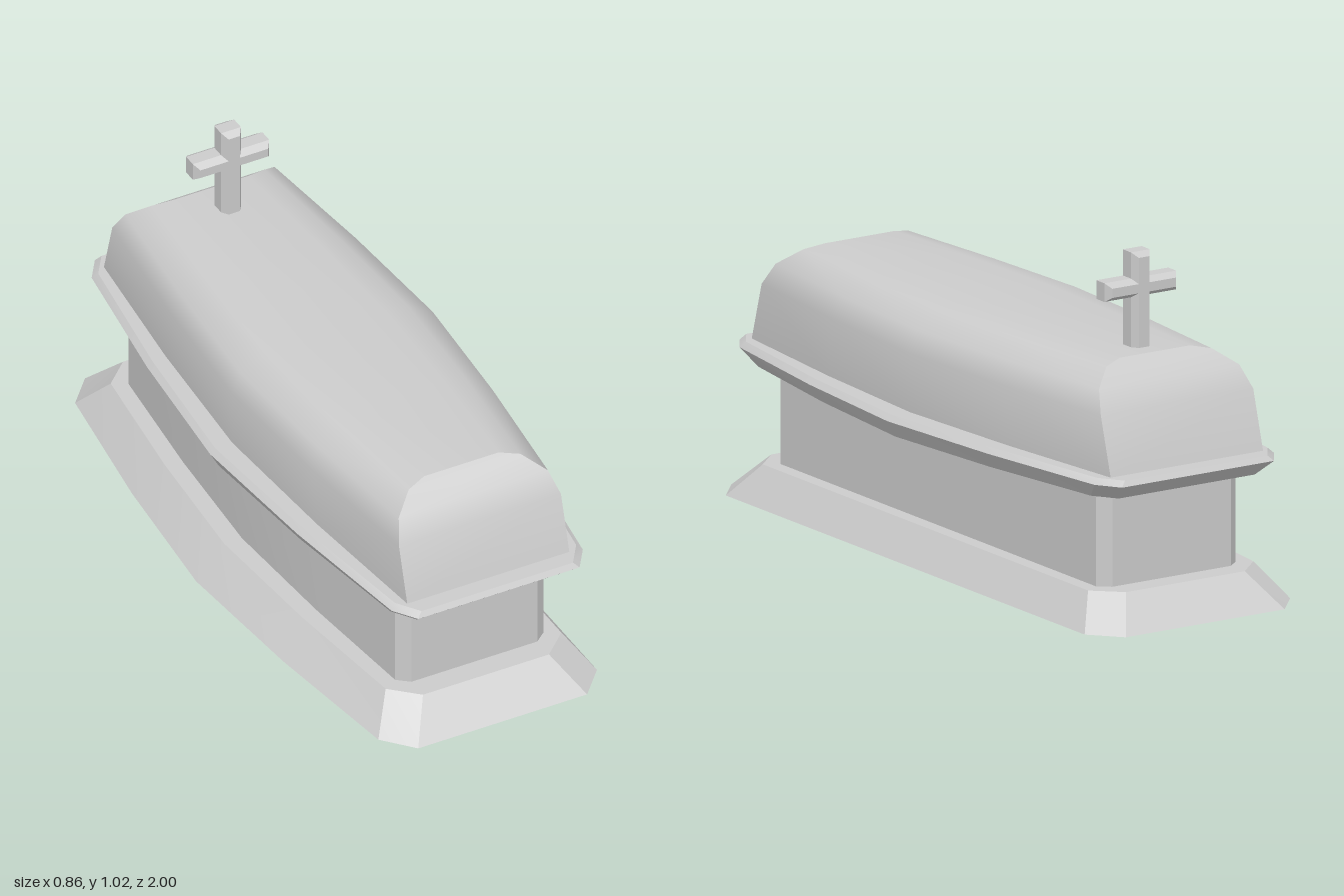
import * as THREE from 'three';
import { toCreasedNormals } from 'three/addons/utils/BufferGeometryUtils.js';

const material = new THREE.MeshStandardMaterial({ color: 0xcccccc, side: THREE.DoubleSide });

// How far the long sides bow out at t = -1..1 along the length
const STATIONS = [-1, -0.5, 0, 0.5, 1];
const BOW = [0, 0.62, 1, 0.62, 0];

// Closed horizontal outline: long sides (bowed) with chamfered corners
function outline({ cx, y, side, zSide, end, zEnd, bowRight, bowLeft }) {
  const right = STATIONS.map((t, i) => [cx + side + (bowRight - side) * BOW[i], y, t * zSide]);
  const left = STATIONS.map((t, i) => [cx - side - (bowLeft - side) * BOW[i], y, -t * zSide]);
  return [
    ...right, [cx + end, y, zEnd], [cx - end, y, zEnd],
    ...left, [cx - end, y, -zEnd], [cx + end, y, -zEnd],
  ];
}

function meshFrom(name, positions, crease) {
  const geometry = new THREE.BufferGeometry();
  geometry.setAttribute('position', new THREE.Float32BufferAttribute(positions.flat(), 3));
  const mesh = new THREE.Mesh(toCreasedNormals(geometry, crease), material);
  mesh.name = name;
  return mesh;
}

const quad = (out, a, b, c, d) => out.push(a, b, c, a, c, d);

// Skin between stacked outlines, lowest first, optionally with a floor
function loft(name, rings, floor = false) {
  const out = [];
  for (let k = 0; k < rings.length - 1; k++) {
    const lo = rings[k], hi = rings[k + 1];
    lo.forEach((p, i) => {
      const j = (i + 1) % lo.length;
      quad(out, p, hi[i], hi[j], lo[j]);
    });
  }
  if (floor) {
    const ring = rings[0];
    const centre = [(ring[5][0] + ring[6][0]) / 2, ring[0][1], 0];
    ring.forEach((p, i) => out.push(centre, p, ring[(i + 1) % ring.length]));
  }
  return meshFrom(name, out, 0.4);
}

// Vaulted lid: bowed sides and rounded shoulders, closed by curved ends
const LID = { cx: 0.02, end: 0.261, mid: 0.336, y: 0.448, z: 0.91 };

function makeLid() {
  // height, width factor, end position
  const levels = [
    [LID.y, 1, LID.z], [0.62, 1, 0.86], [0.685, 0.92, 0.82],
    [0.73, 0.69, 0.768], [0.743, 0.46, 0.748],
  ];
  const point = ([y, f, z], i, s) =>
    [LID.cx + s * f * (LID.end + (LID.mid - LID.end) * BOW[i]), y, STATIONS[i] * z];
  const vault = [], ends = [];
  const last = STATIONS.length - 1;
  for (let k = 0; k < levels.length - 1; k++) {
    const lo = levels[k], hi = levels[k + 1];
    for (let i = 0; i < last; i++) {
      quad(vault, point(lo, i, 1), point(hi, i, 1), point(hi, i + 1, 1), point(lo, i + 1, 1));
      quad(vault, point(lo, i, -1), point(lo, i + 1, -1), point(hi, i + 1, -1), point(hi, i, -1));
    }
    quad(ends, point(lo, last, -1), point(lo, last, 1), point(hi, last, 1), point(hi, last, -1));
    quad(ends, point(lo, 0, 1), point(lo, 0, -1), point(hi, 0, -1), point(hi, 0, 1));
  }
  const top = levels[levels.length - 1];
  for (let i = 0; i < last; i++) {
    quad(vault, point(top, i, -1), point(top, i + 1, -1), point(top, i + 1, 1), point(top, i, 1));
  }
  const lid = new THREE.Group();
  lid.name = 'lid';
  lid.add(meshFrom('lidVault', vault, 0.8), meshFrom('lidEnds', ends, 0.8));
  return lid;
}

// Bevelled upright cross
function makeCross() {
  const stem = 0.032, arm = 0.123, armLow = 0.89, armHigh = 0.945, low = 0.72, high = 1.022;
  const half = [
    [stem, low], [stem, armLow], [arm, armLow], [arm, armHigh], [stem, armHigh], [stem, high],
  ];
  const mirrored = half.map(([x, y]) => [-x, y]).reverse();
  const shape = new THREE.Shape([...half, ...mirrored].map(([x, y]) => new THREE.Vector2(x, y)));
  const bevel = 0.014, bevelDepth = 0.02, thickness = 0.08;
  const geometry = new THREE.ExtrudeGeometry(shape, {
    depth: thickness - 2 * bevelDepth, bevelEnabled: true, bevelSegments: 1,
    bevelSize: bevel, bevelThickness: bevelDepth, bevelOffset: -bevel,
  });
  geometry.translate(0.019, 0, -0.652 - thickness / 2 + bevelDepth);
  const mesh = new THREE.Mesh(geometry, material);
  mesh.name = 'cross';
  return mesh;
}

export function createModel() {
  const group = new THREE.Group();
  group.name = 'sarcophagus';
  const cx = 0.018;

  // Plinth and chest are straight on the left and bowed on the right
  const chest = { cx, side: 0.239, zSide: 0.8, end: 0.203, zEnd: 0.83, bowRight: 0.239, bowLeft: 0.303 };
  group.add(loft('plinth', [
    outline({ cx, y: 0, side: 0.352, zSide: 0.91, end: 0.272, zEnd: 1, bowRight: 0.352, bowLeft: 0.451 }),
    outline({ cx, y: 0.1, side: 0.283, zSide: 0.825, end: 0.203, zEnd: 0.9, bowRight: 0.283, bowLeft: 0.36 }),
    outline({ ...chest, y: 0.1 }),
  ]));
  group.add(loft('chest', [outline({ ...chest, y: 0.1 }), outline({ ...chest, y: 0.383 })]));

  // Rim bows on both sides; its top ledge runs in to the foot of the lid
  const rimRing = (y, inset, zInset) => outline({
    cx: 0.022, y, side: 0.308 - inset, zSide: 0.9 - zInset, end: 0.26 - inset,
    zEnd: 0.97 - zInset, bowRight: 0.409 - inset, bowLeft: 0.409 - inset,
  });
  const lidFoot = outline({
    cx: LID.cx, y: LID.y, side: LID.end, zSide: LID.z, end: LID.end, zEnd: LID.z,
    bowRight: LID.mid, bowLeft: LID.mid,
  });
  group.add(loft('rim', [
    rimRing(0.383, 0.027, 0.058), rimRing(0.432, 0, 0), rimRing(0.448, 0.016, 0.01), lidFoot,
  ], true));

  group.add(makeLid(), makeCross());
  return group;
}
